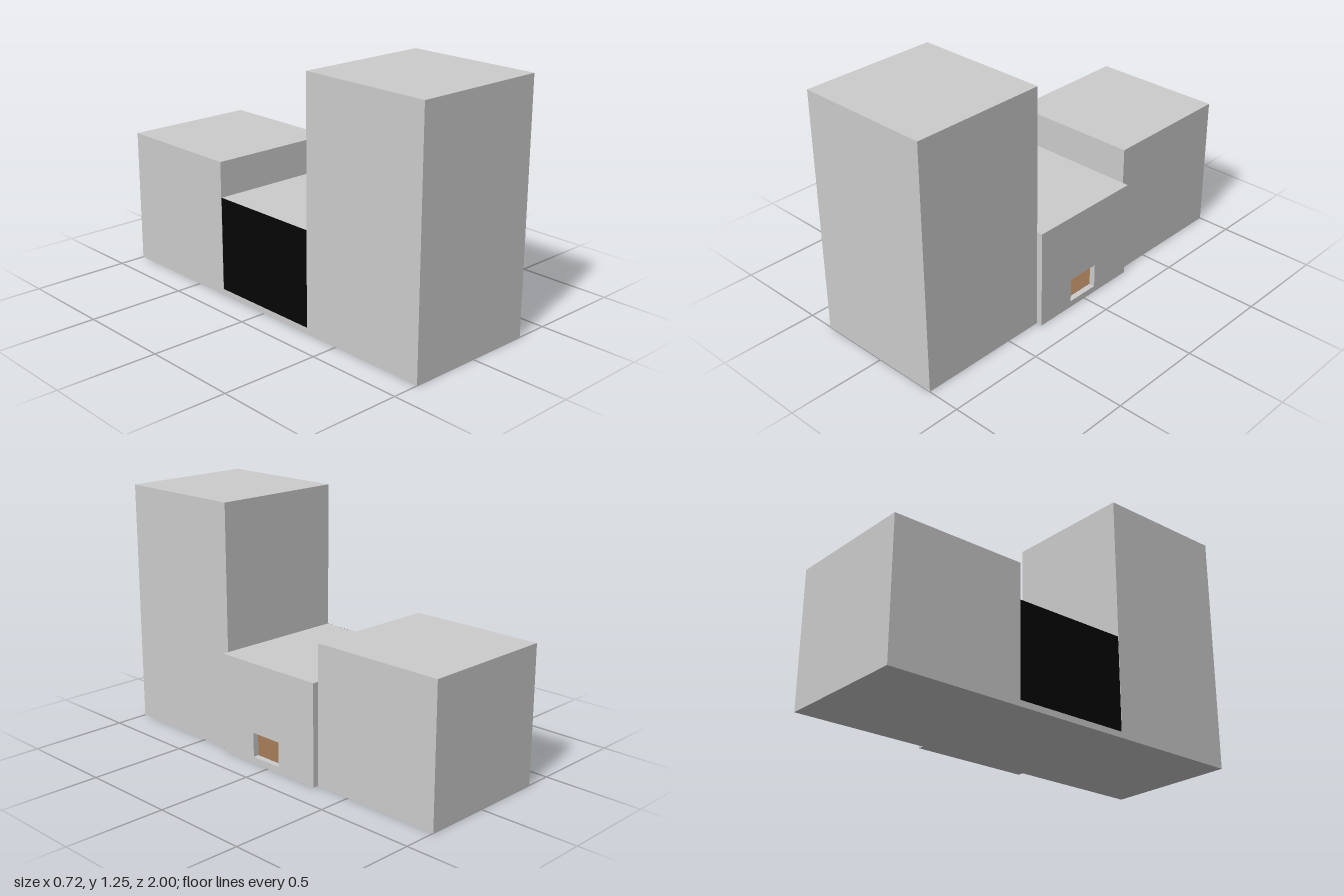
import * as THREE from 'three';

const grey = new THREE.MeshStandardMaterial({ color: 0xcccccc });
grey.name = 'concrete grey';
const black = new THREE.MeshStandardMaterial({ color: 0x050505 });
black.name = 'black panel';
const brown = new THREE.MeshStandardMaterial({ color: 0x96704f });
brown.name = 'wood brown';

// Box given by its lower and upper corners
function block(name, material, [x0, y0, z0], [x1, y1, z1]) {
  const mesh = new THREE.Mesh(new THREE.BoxGeometry(x1 - x0, y1 - y0, z1 - z0), material);
  mesh.position.set((x0 + x1) / 2, (y0 + y1) / 2, (z0 + z1) / 2);
  mesh.name = name;
  return mesh;
}

function rectangle(PathType, a0, b0, a1, b1) {
  const path = new PathType();
  path.moveTo(a0, b0);
  path.lineTo(a1, b0);
  path.lineTo(a1, b1);
  path.lineTo(a0, b1);
  path.closePath();
  return path;
}

export function createModel() {
  const model = new THREE.Group();
  model.name = 'blockBuilding';

  const left = -0.363, right = 0.33, zMid = 0.308, roofTop = 0.51;

  // Two solid towers
  model.add(block('tallTower', grey, [left, 0, zMid], [right, 1.245, 1]));
  model.add(block('lowTower', grey, [left, 0, -1], [right, 0.692, -zMid]));

  // Hollow room between the towers
  model.add(block('roomBase', grey, [left, 0, -zMid], [right, 0.03, zMid]));
  model.add(block('roomFloor', brown, [-0.35, 0.03, -zMid], [right, 0.034, zMid]));
  model.add(block('roomRoof', grey, [-0.358, roofTop - 0.03, -zMid], [right, roofTop, zMid]));
  model.add(block('blackSidePanel', black, [-0.361, 0.03, -zMid], [-0.353, roofTop - 0.001, zMid]));

  // Outer wall with its small window opening, drawn in (-z, y) and turned to face +x
  const wall = rectangle(THREE.Shape, -zMid, 0, zMid, roofTop);
  wall.holes.push(rectangle(THREE.Path, -0.1, 0.033, 0.075, 0.157));
  const windowWall = new THREE.Mesh(
    new THREE.ExtrudeGeometry(wall, { depth: 0.03, bevelEnabled: false }), grey);
  windowWall.rotation.y = Math.PI / 2;
  windowWall.position.x = right;
  windowWall.name = 'windowWall';
  model.add(windowWall);

  return model;
}
